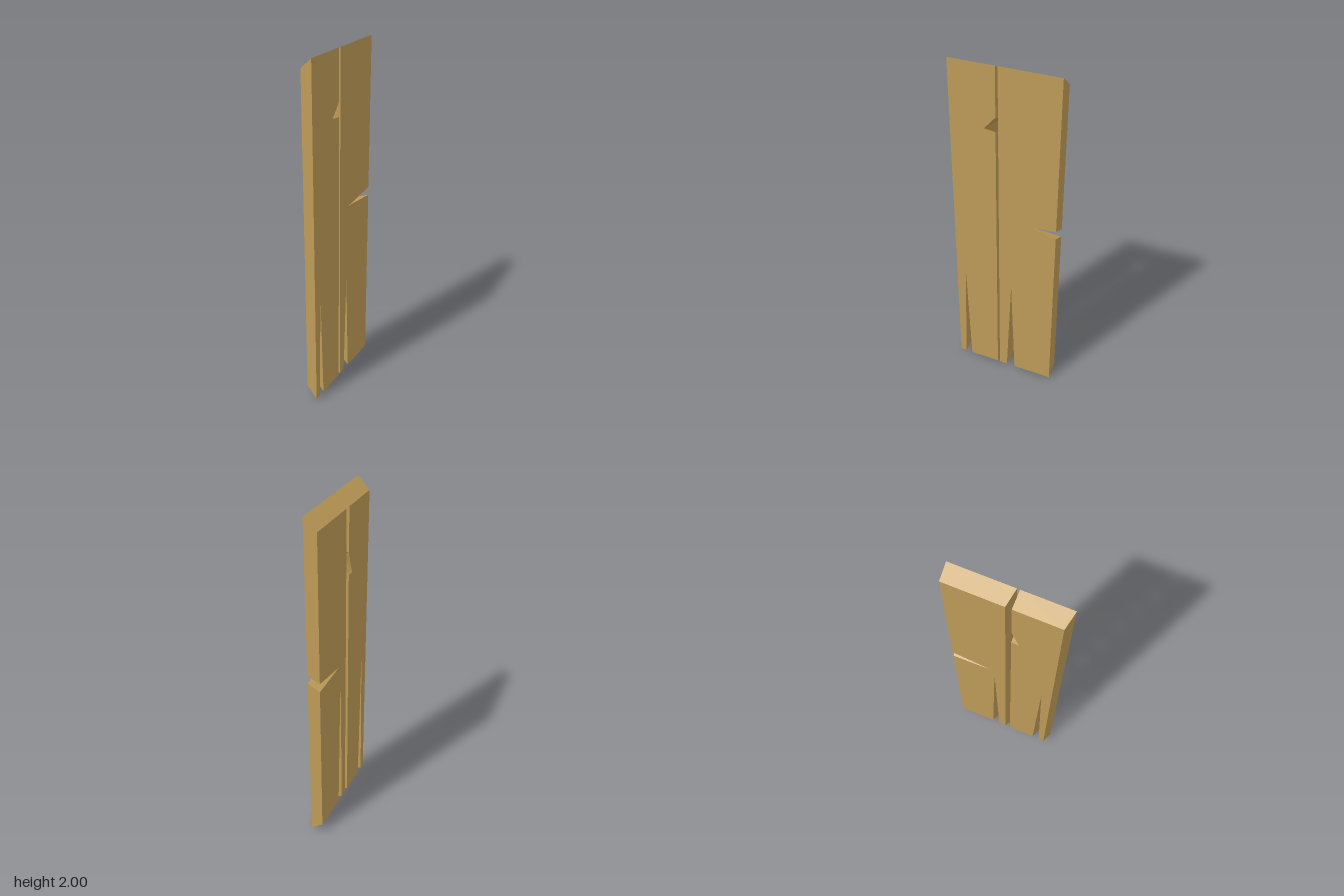
import * as THREE from 'three';

const HALF = 0.0375; // half the board thickness

// Board lofted between a right-hand outline and a left-hand outline.
// Outline points are [-z, y], counter-clockwise as seen from +x.
function board(name, outer, inner, material) {
  const positions = [];
  const point = ([u, y], x) => [x, y, -u];
  const add = (...pts) => pts.forEach((p) => positions.push(...p));
  const triangulate = (outline) =>
    THREE.ShapeUtils.triangulateShape(outline.map(([u, y]) => new THREE.Vector2(u, y)), []);

  // Broad faces
  for (const [a, b, c] of triangulate(outer)) {
    add(point(outer[a], HALF), point(outer[b], HALF), point(outer[c], HALF));
  }
  for (const [a, b, c] of triangulate(inner)) {
    add(point(inner[a], -HALF), point(inner[c], -HALF), point(inner[b], -HALF));
  }

  // Edges, bevelled ends and the walls of the splits
  outer.forEach((p, i) => {
    const j = (i + 1) % outer.length;
    const f0 = point(p, HALF), f1 = point(outer[j], HALF);
    const b0 = point(inner[i], -HALF), b1 = point(inner[j], -HALF);
    add(f0, b0, b1, f0, b1, f1);
  });

  const geometry = new THREE.BufferGeometry();
  geometry.setAttribute('position', new THREE.Float32BufferAttribute(positions, 3));
  geometry.computeVertexNormals();
  const mesh = new THREE.Mesh(geometry, material);
  mesh.name = name;
  return mesh;
}

export function createModel() {
  const group = new THREE.Group();
  group.name = 'splitBoards';
  const wood = new THREE.MeshStandardMaterial({ color: 0xbf9c58, flatShading: true });

  // Wide board: split at the foot, crack in its outer edge
  group.add(board('wideBoard',
    [[-0.031, 0], [0.018, 0], [0.045, 0.65], [0.07, 0], [0.305, 0],
      [0.305, 1.075], [0.07, 1.1], [0.305, 1.125], [0.305, 2], [-0.031, 2]],
    [[-0.007, 0.06], [0.04, 0.06], [0.06, 1.0], [0.085, 0.06], [0.31, 0.06],
      [0.31, 1.045], [0.08, 1.06], [0.31, 1.095], [0.31, 1.94], [-0.007, 1.94]],
    wood));

  // Narrow board: split at the foot, chip in its inner edge
  group.add(board('narrowBoard',
    [[-0.307, 0], [-0.27, 0], [-0.25, 0.68], [-0.228, 0], [-0.045, 0],
      [-0.045, 1.645], [-0.11, 1.652], [-0.045, 1.725], [-0.045, 2], [-0.307, 2]],
    [[-0.284, 0.06], [-0.25, 0.06], [-0.225, 0.97], [-0.205, 0.06], [-0.038, 0.06],
      [-0.038, 1.57], [-0.08, 1.56], [-0.038, 1.69], [-0.038, 1.94], [-0.284, 1.94]],
    wood));

  return group;
}
